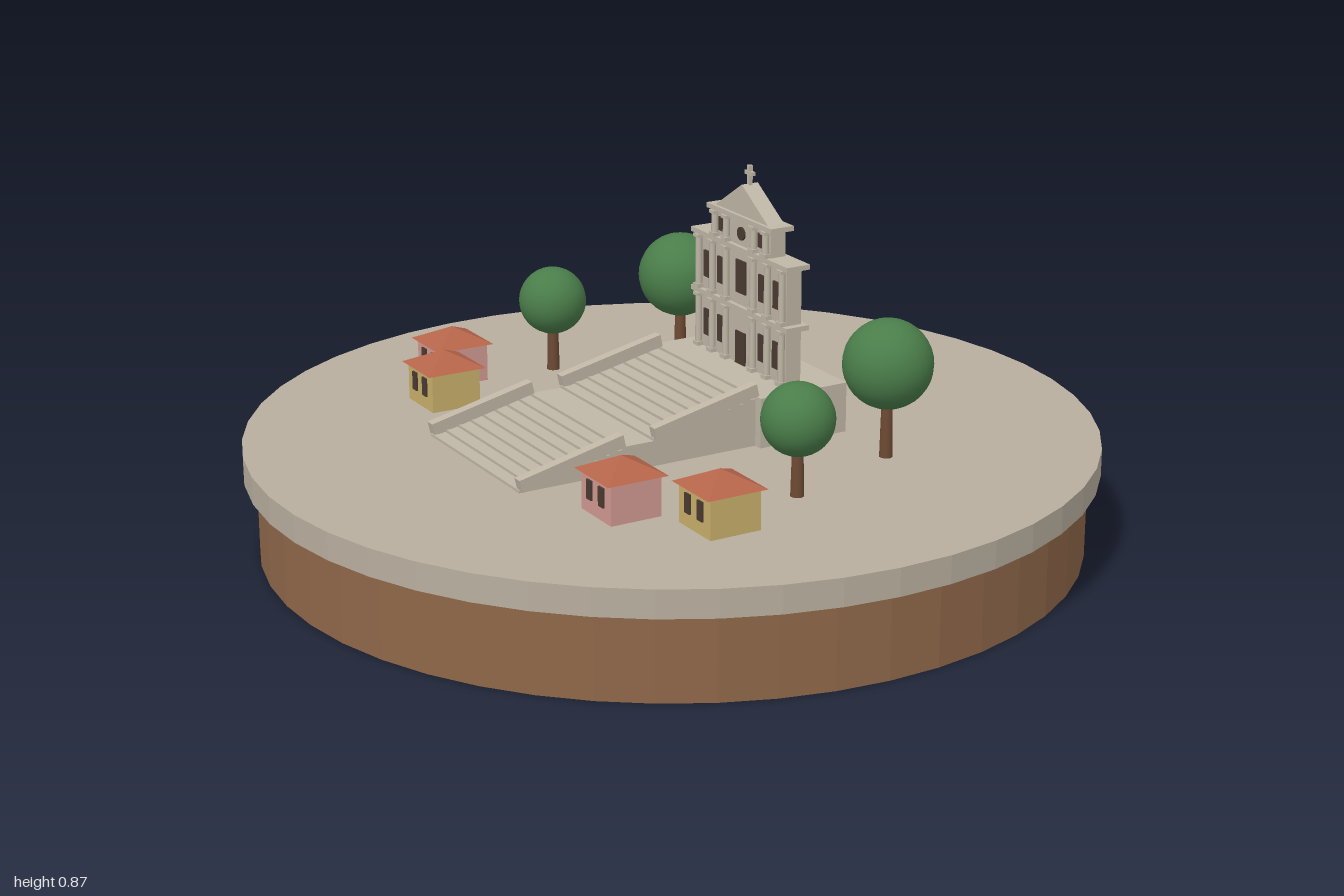
import * as THREE from 'three';

const mat = (name, color, flatShading = false) => {
  const m = new THREE.MeshStandardMaterial({ color, flatShading });
  m.name = name;
  return m;
};

export function createModel() {
  const M = {
    paving: mat('paving', 0xb8ae9e, true),
    soil: mat('soil', 0x8f6749, true),
    stone: mat('stone', 0xbfb6a5),
    dark: mat('darkOpening', 0x4a3b32),
    roof: mat('roofTile', 0xb5654a, true),
    pink: mat('pinkPlaster', 0xd39a92),
    yellow: mat('yellowPlaster', 0xc9b06c),
    leaf: mat('foliage', 0x4a7d4a),
    bark: mat('bark', 0x6e4a34),
  };
  const GROUND = 0.265, PLATFORM = 0.385, TURN = -Math.PI / 9;
  const root = new THREE.Group();
  root.name = 'plazaIsland';

  const add = (parent, name, geo, material, x = 0, y = 0, z = 0) => {
    const m = new THREE.Mesh(geo, material);
    m.name = name;
    m.position.set(x, y, z);
    parent.add(m);
    return m;
  };
  // box standing on y0
  const box = (parent, name, material, w, h, d, x, y0, z) =>
    add(parent, name, new THREE.BoxGeometry(w, h, d), material, x, y0 + h / 2, z);
  const group = (name, x, y, z, turn = 0) => {
    const g = new THREE.Group();
    g.name = name;
    g.position.set(x, y, z);
    g.rotation.y = turn;
    root.add(g);
    return g;
  };

  // round base
  add(root, 'soilBase', new THREE.CylinderGeometry(0.97, 0.97, 0.2, 48), M.soil, 0, 0.1, 0);
  add(root, 'pavedDisc', new THREE.CylinderGeometry(1, 1, 0.065, 48), M.paving, 0, 0.2325, 0);

  // facade on its platform
  const church = group('church', 0.07, 0, -0.2, TURN);
  box(church, 'platform', M.stone, 0.485, PLATFORM - GROUND, 0.235, 0, GROUND, 0);
  const tiers = [
    { y: 0.385, h: 0.145, w: 0.39, cols: [0.06, 0.122, 0.184] },
    { y: 0.53, h: 0.145, w: 0.39, cols: [0.06, 0.122, 0.184] },
    { y: 0.675, h: 0.075, w: 0.25, cols: [0.06, 0.112] },
  ];
  tiers.forEach(({ y, h, w, cols }, t) => {
    box(church, 'facadeTier', M.stone, w, h, 0.04, 0, y, 0);
    box(church, 'cornice', M.stone, w + 0.035, 0.012, 0.062, 0, y + h - 0.012, 0);
    for (const s of [-1, 1]) {
      cols.forEach((cx) => {
        const x = s * cx;
        add(church, 'column', new THREE.CylinderGeometry(0.008, 0.009, h - 0.012, 10), M.stone,
          x, y + (h - 0.012) / 2, 0.026);
        box(church, 'columnBase', M.stone, 0.022, 0.01, 0.02, x, y, 0.026);
        box(church, 'columnCapital', M.stone, 0.022, 0.008, 0.02, x, y + h - 0.02, 0.026);
      });
      // openings between the columns
      for (let i = 0; i + 1 < cols.length; i++) {
        box(church, 'opening', M.dark, 0.024, h * 0.45, 0.006, s * (cols[i] + cols[i + 1]) / 2,
          y + h * 0.22, 0.0215);
      }
    }
    if (t < 2) box(church, 'centralOpening', M.dark, 0.042, h * 0.55, 0.006, 0, y + (t ? 0.03 : 0), 0.0215);
  });
  // niche in the upper tier
  const niche = add(church, 'niche', new THREE.CylinderGeometry(0.016, 0.016, 0.006, 16), M.dark, 0, 0.705, 0.0215);
  niche.rotation.x = Math.PI / 2;

  // gable and cross
  const tri = new THREE.Shape([
    new THREE.Vector2(-0.115, 0), new THREE.Vector2(0.115, 0), new THREE.Vector2(0, 0.073),
  ]);
  add(church, 'gable', new THREE.ExtrudeGeometry(tri, { depth: 0.044, bevelEnabled: false }),
    M.stone, 0, 0.75, -0.022);
  box(church, 'crossPost', M.stone, 0.01, 0.052, 0.01, 0, 0.815, 0);
  box(church, 'crossArm', M.stone, 0.032, 0.009, 0.01, 0, 0.844, 0);

  // two flights of stairs with sloping parapets and a landing between
  const RISE = 0.06, N = 8;
  const flight = (name, z0, z1, base) => {
    const d = (z1 - z0) / N;
    for (let i = 0; i < N; i++) {
      const top = base + (RISE * (i + 1)) / (N + 1);
      box(church, name, M.stone, 0.44, top - GROUND, d, 0, GROUND, z1 - d * (i + 0.5));
    }
    for (const s of [-1, 1]) {
      const p = add(church, 'parapet', new THREE.BoxGeometry(0.025, 0.03, Math.hypot(z1 - z0, RISE)),
        M.stone, s * 0.218, base + RISE / 2 + 0.018, (z0 + z1) / 2);
      p.rotation.x = Math.atan2(RISE, z1 - z0);
    }
  };
  flight('upperStep', 0.1175, 0.388, GROUND + RISE);
  box(church, 'landing', M.stone, 0.44, RISE, 0.08, 0, GROUND, 0.428);
  flight('lowerStep', 0.468, 0.73, GROUND);

  // small houses
  const house = (x, z, wall) => {
    const g = group('house', x, GROUND, z, TURN);
    box(g, 'houseWalls', wall, 0.13, 0.095, 0.125, 0, 0, 0);
    const roof = new THREE.ConeGeometry(0.106, 0.038, 4);
    roof.rotateY(Math.PI / 4);
    add(g, 'houseRoof', roof, M.roof, 0, 0.112, 0);
    for (const s of [-1, 1]) box(g, 'houseWindow', M.dark, 0.021, 0.045, 0.006, s * 0.026, 0.033, 0.064);
  };
  house(-0.65, 0.06, M.pink);
  house(-0.535, 0.21, M.yellow);
  house(0.275, 0.505, M.pink);
  house(0.49, 0.435, M.yellow);

  // round trees
  const tree = (x, z, r, cy) => {
    const g = group('tree', x, 0, z);
    const h = cy - r * 0.7 - GROUND;
    add(g, 'treeTrunk', new THREE.CylinderGeometry(0.013, 0.016, h, 10), M.bark, 0, GROUND + h / 2, 0);
    add(g, 'treeCrown', new THREE.SphereGeometry(r, 28, 18), M.leaf, 0, cy, 0);
  };
  tree(-0.31, -0.41, 0.104, 0.487);
  tree(0.51, -0.147, 0.104, 0.487);
  tree(-0.503, -0.147, 0.083, 0.443);
  tree(0.507, 0.184, 0.083, 0.443);

  return root;
}
